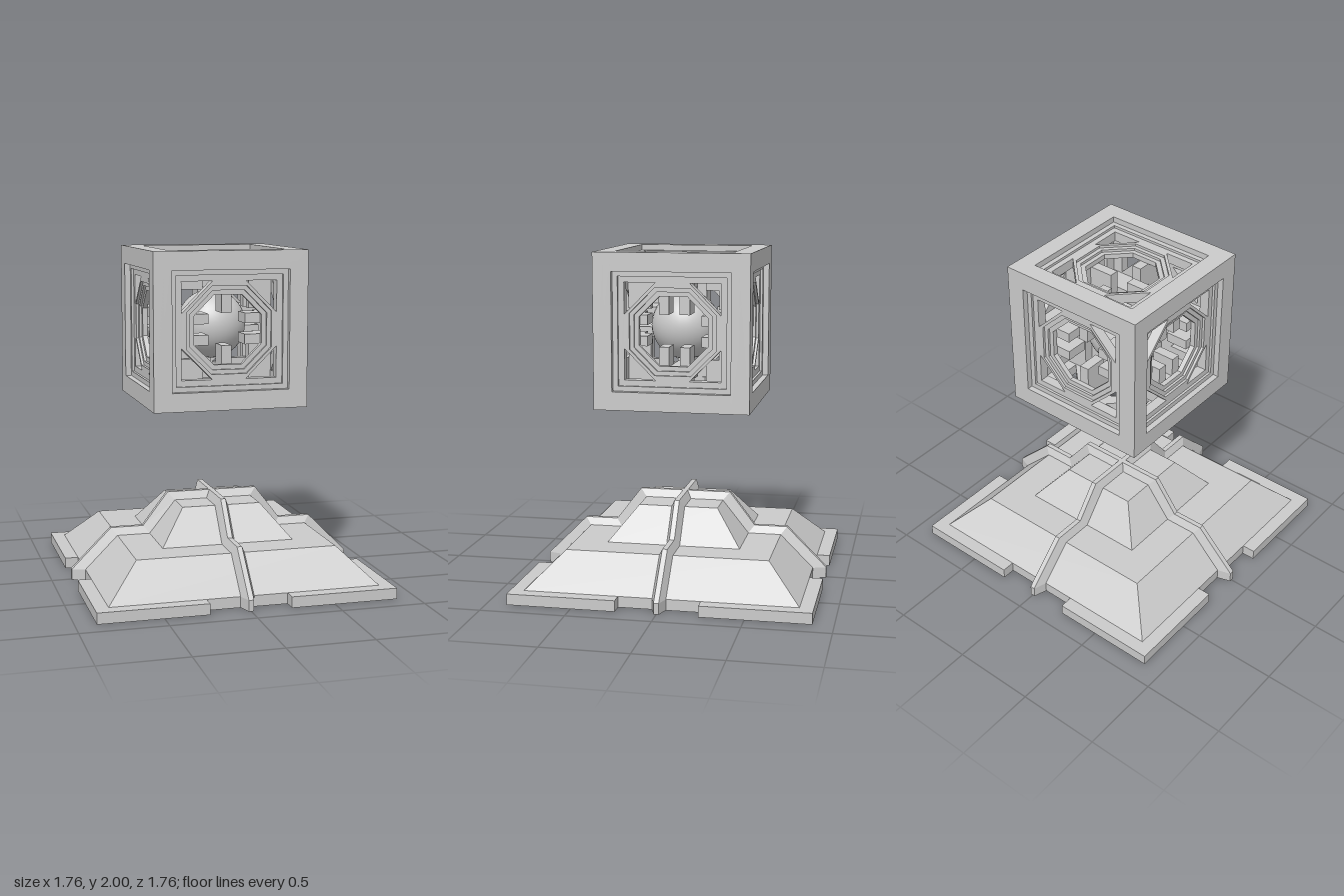
import * as THREE from 'three';

const mat = new THREE.MeshStandardMaterial({ color: 0xcccccc, flatShading: true });
const smooth = new THREE.MeshStandardMaterial({ color: 0xcccccc });

function add(parent, name, geometry, material = mat) {
  const mesh = new THREE.Mesh(geometry, material);
  mesh.name = name;
  parent.add(mesh);
  return mesh;
}

// Regular outline given by its apothem, with flat sides facing the axes
function outline(sides, apothem) {
  const r = apothem / Math.cos(Math.PI / sides);
  return Array.from({ length: sides }, (_, i) => {
    const a = (i + 0.5) * 2 * Math.PI / sides;
    return new THREE.Vector2(r * Math.cos(a), r * Math.sin(a));
  });
}

// Plate between depths z0 and z1 with holes cut through
function plate(outer, holes, z0, z1) {
  const shape = new THREE.Shape(outer);
  for (const h of holes) shape.holes.push(new THREE.Path(h));
  return new THREE.ExtrudeGeometry(shape, { depth: z1 - z0, bevelEnabled: false }).translate(0, 0, z0);
}

function frustum(bottom, top, y0, y1) {
  return new THREE.CylinderGeometry(top * Math.SQRT2, bottom * Math.SQRT2, y1 - y0, 4)
    .rotateY(Math.PI / 4).translate(0, (y0 + y1) / 2, 0);
}

// Bevelled rib running over the base, lofted from four-point sections
function ribGeometry() {
  // inner x, inner y, outer x, outer y
  const half = [
    [0.8, 0, 0.88, 0], [0.8, 0.065, 0.88, 0.065], [0.6, 0.265, 0.635, 0.31],
    [0.4, 0.265, 0.435, 0.31], [0.24, 0.465, 0.28, 0.512],
  ];
  const mirrored = half.map(([a, b, c, d]) => [-a, b, -c, d]).reverse();
  const sections = [...half, ...mirrored].map(([ix, iy, ox, oy]) => [
    [ix, iy, 0.04], [ox, oy, 0.015], [ox, oy, -0.015], [ix, iy, -0.04],
  ]);
  const pos = [];
  const quad = (a, b, c, d) => pos.push(...a, ...b, ...c, ...a, ...c, ...d);
  for (let i = 0; i < sections.length - 1; i++) {
    const p = sections[i], q = sections[i + 1];
    for (let k = 0; k < 3; k++) quad(p[k], p[k + 1], q[k + 1], q[k]);
  }
  quad(...[...sections[0]].reverse());
  quad(...sections[sections.length - 1]);
  const g = new THREE.BufferGeometry();
  g.setAttribute('position', new THREE.Float32BufferAttribute(pos, 3));
  g.computeVertexNormals();
  return g;
}

function buildBase() {
  const base = new THREE.Group();
  base.name = 'base';
  // Square slab notched at the middle of each side
  const R = 0.88, N = 0.8, W = 0.24;
  const corner = [[N, W], [R, W], [R, R], [W, R], [W, N]];
  const pts = [];
  for (let i = 0; i < 4; i++) {
    for (const [x, y] of corner) {
      pts.push(new THREE.Vector2(x, y).rotateAround(new THREE.Vector2(), i * Math.PI / 2));
    }
  }
  add(base, 'plinth', plate(pts, [], 0, 0.065).rotateX(-Math.PI / 2));
  add(base, 'lowerTier', frustum(0.8, 0.6, 0.065, 0.265));
  add(base, 'upperTier', frustum(0.4, 0.24, 0.265, 0.465));
  const rib = ribGeometry();
  for (const turn of [0, Math.PI / 2]) add(base, 'rib', rib, mat).rotation.y = turn;
  return base;
}

// One face of the cage: stepped square frame, octagonal window, inward teeth
function buildFace(teeth) {
  const face = new THREE.Group();
  face.name = 'cageFace';
  const back = 0.35;
  const steps = [[0.46, 0.395, 0.46], [0.395, 0.36, 0.44], [0.36, 0.32, 0.425]];
  for (const [outer, inner, front] of steps) {
    add(face, 'frameStep', plate(outline(4, outer), [outline(4, inner)], back, front));
  }
  const corners = [[1, 1], [-1, 1], [-1, -1], [1, -1]].map(([sx, sy]) => [
    new THREE.Vector2(sx * 0.285, sy * 0.285),
    new THREE.Vector2(sx * 0.285, sy * 0.1),
    new THREE.Vector2(sx * 0.1, sy * 0.285),
  ]);
  add(face, 'windowPanel', plate(outline(4, 0.32), [outline(8, 0.255), ...corners], back, 0.41));
  add(face, 'windowStep', plate(outline(8, 0.255), [outline(8, 0.23)], back, 0.395));
  add(face, 'windowRim', plate(outline(8, 0.23), [outline(8, 0.203)], back, 0.38));

  // Teeth: axis they run along, inner end, sideways offset
  for (const [axis, start, offset] of teeth) {
    const len = 0.36 - start, mid = start + len / 2;
    for (const end of [-1, 1]) {
      for (const side of offset ? [-1, 1] : [1]) {
        const along = axis === 'x';
        const tooth = add(face, 'tooth',
          new THREE.BoxGeometry(along ? len : 0.06, along ? 0.06 : len, 0.14));
        tooth.position.set(along ? end * mid : side * offset, along ? side * offset : end * mid, 0.28);
      }
    }
  }
  return face;
}

export function createModel() {
  const model = new THREE.Group();
  model.name = 'floatingCageMonument';
  model.add(buildBase());

  const cage = new THREE.Group();
  cage.name = 'cage';
  cage.position.y = 1.54;
  model.add(cage);

  const frontTeeth = [['y', 0.095, 0], ['x', 0.11, 0.062]];
  const sideTeeth = [['y', 0.095, 0.062], ['x', 0.16, 0.062]];
  const topTeeth = [['y', 0.13, 0], ['x', 0.06, 0]];
  for (const s of [0, 1]) {
    const front = buildFace(frontTeeth);
    front.rotation.y = s * Math.PI;
    const side = buildFace(sideTeeth);
    side.rotation.y = Math.PI / 2 + s * Math.PI;
    const top = buildFace(topTeeth);
    top.rotation.x = -Math.PI / 2 + s * Math.PI;
    cage.add(front, side, top);
  }
  add(cage, 'core', new THREE.SphereGeometry(0.207, 32, 24), smooth);
  return model;
}
